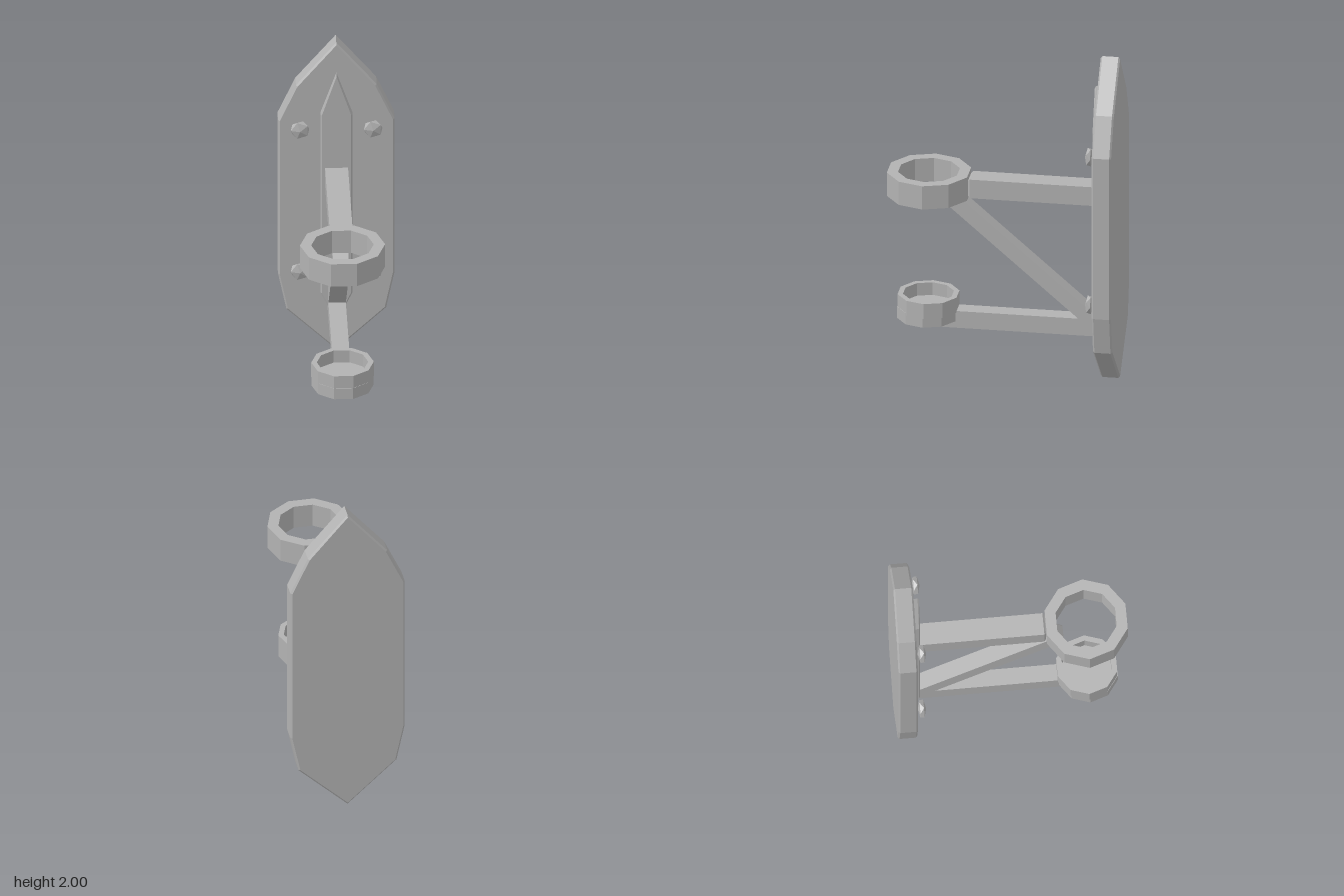
import * as THREE from 'three';

const metal = new THREE.MeshStandardMaterial({ color: 0xb2b2b2, flatShading: true });
metal.name = 'grey metal';

// Outline mirrored about x = 0 from right-hand points running top to bottom
function symmetricShape(points) {
  const left = points.filter(([x]) => x > 0).reverse().map(([x, y]) => [-x, y]);
  return new THREE.Shape([...points, ...left].reverse().map(([x, y]) => new THREE.Vector2(x, y)));
}

// Extrusion centred on z = 0 with chamfers kept inside the given outline
function chamfered(shape, depth, c) {
  const g = new THREE.ExtrudeGeometry(shape, {
    depth: depth - 2 * c, bevelEnabled: true, bevelThickness: c,
    bevelSize: c, bevelOffset: -c, bevelSegments: 1,
  });
  return g.translate(0, 0, c - depth / 2);
}

function bar(w, h, length) {
  return chamfered(symmetricShape([[w / 2, h / 2], [w / 2, -h / 2]]), length, 0.01);
}

const decagon = (r) => Array.from({ length: 10 }, (_, i) => {
  const a = (i / 10) * Math.PI * 2;
  return new THREE.Vector2(r * Math.cos(a), r * Math.sin(a));
});

// Ten-sided upright ring standing on y = 0
function ring(outer, inner, height) {
  const shape = new THREE.Shape(decagon(outer));
  shape.holes.push(new THREE.Path(decagon(inner).reverse()));
  return new THREE.ExtrudeGeometry(shape, { depth: height, bevelEnabled: false }).rotateX(-Math.PI / 2);
}

export function createModel() {
  const model = new THREE.Group();
  model.name = 'wallSconce';
  const add = (name, geometry, x, y, z) => {
    const mesh = new THREE.Mesh(geometry, metal);
    mesh.name = name;
    mesh.position.set(x, y, z);
    model.add(mesh);
    return mesh;
  };

  // Pointed wall plate and raised spine
  const plate = symmetricShape([[0, 2], [0.232, 1.725], [0.335, 1.5], [0.335, 0.5], [0.287, 0.27], [0, 0]]);
  add('wallPlate', chamfered(plate, 0.113, 0.01), 0, 0, -0.616);
  const spine = symmetricShape([[0, 1.81], [0.092, 1.55], [0.092, 0.39], [0, 0.2]]);
  add('spine', chamfered(spine, 0.05, 0.008), 0, 0, -0.55);

  // Horizontal arms
  add('upperArm', bar(0.132, 0.116, 0.745), 0, 1.148, -0.17);
  add('lowerArm', bar(0.1, 0.104, 1), 0, 0.323, -0.062);

  // Diagonal brace between the lower arm root and the upper ring
  const top = new THREE.Vector3(0, 1.056, 0.285);
  const foot = new THREE.Vector3(0, 0.342, -0.54);
  const mid = top.clone().add(foot).multiplyScalar(0.5);
  const brace = add('brace', bar(0.1, 0.085, top.distanceTo(foot)), mid.x, mid.y, mid.z);
  brace.rotation.x = -Math.atan2(top.y - foot.y, top.z - foot.z);

  // Holder ring above, shallow cup below
  add('holderRing', ring(0.245, 0.18, 0.145), 0, 1.077, 0.439);
  add('cupWall', ring(0.18, 0.148, 0.093), 0, 0.367, 0.442);
  const base = new THREE.CylinderGeometry(0.178, 0.178, 0.07, 10).rotateY(Math.PI / 2);
  add('cupBase', base, 0, 0.347, 0.447);

  // Faceted studs
  for (const x of [-0.21, 0.21]) {
    for (const y of [0.535, 1.455]) {
      const stud = new THREE.IcosahedronGeometry(0.06, 0).rotateX(-0.55).rotateZ(0.3).scale(1, 1, 0.42);
      add('stud', stud, x, y, -0.527);
    }
  }
  return model;
}
